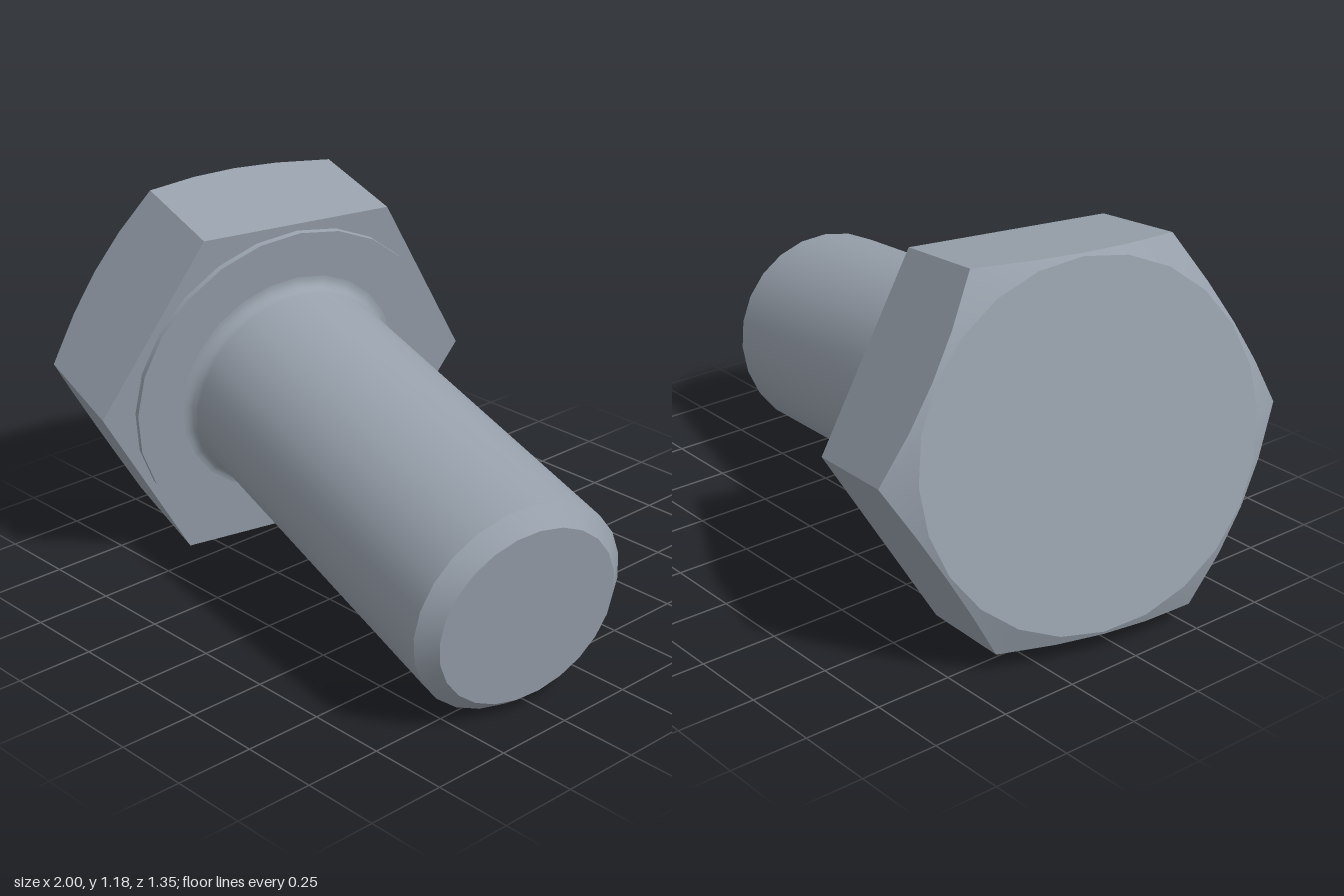
import * as THREE from 'three';
import { toCreasedNormals } from 'three/addons/utils/BufferGeometryUtils.js';

const SEGMENTS = 24;
const CREASE = 0.4;

// Turned part around the y axis; profile runs from low y to high y
function turned(profile) {
  return new THREE.LatheGeometry(profile.map(([r, y]) => new THREE.Vector2(r, y)), SEGMENTS);
}

// Hexagonal head: a turned blank whose rim is pushed out to a hexagon,
// with the far corners cut by a 30 degree cone
function headGeometry() {
  const corner = 0.651, faceRadius = 0.555, height = 0.433;
  const apothem = corner * Math.cos(Math.PI / 6);
  const geo = turned([[0, -height], [faceRadius, -height], [1, -height], [1, 0], [0, 0]]);
  const pos = geo.attributes.position;
  for (let i = 0; i < pos.count; i++) {
    const ring = i % 5;
    if (ring !== 2 && ring !== 3) continue;
    const step = Math.floor(i / 5);
    const angle = (step / SEGMENTS) * Math.PI * 2;
    const fromFlat = ((step % 4) / 4) * (Math.PI / 3) - Math.PI / 6;
    const r = apothem / Math.cos(fromFlat);
    const y = ring === 2 ? -height + (r - faceRadius) * Math.tan(Math.PI / 6) : 0;
    pos.setXYZ(i, r * Math.sin(angle), y, r * Math.cos(angle));
  }
  return toCreasedNormals(geo, CREASE);
}

// Shank with a fillet at the root and a chamfered tip
function shankGeometry() {
  const radius = 0.345, fillet = 0.04, seat = 0.02;
  const profile = [];
  for (let i = 0; i <= 6; i++) {
    const a = (i / 6) * Math.PI / 2;
    profile.push([radius + fillet * (1 - Math.sin(a)), seat + fillet * (1 - Math.cos(a))]);
  }
  profile.push([radius, 1.355], [0.293, 1.407], [0, 1.407]);
  return toCreasedNormals(turned(profile), CREASE);
}

export function createModel() {
  const steel = new THREE.MeshStandardMaterial({ color: 0x98a1ac });
  steel.name = 'steel';

  const bolt = new THREE.Group();
  bolt.name = 'hexBolt';
  const add = (name, geometry) => {
    const mesh = new THREE.Mesh(geometry, steel);
    mesh.name = name;
    bolt.add(mesh);
  };

  add('hexHead', headGeometry());
  add('washerFace', toCreasedNormals(turned([[0.54, 0], [0.54, 0.02], [0.3, 0.02]]), CREASE));
  add('shank', shankGeometry());

  // Lay the bolt over: its axis points right, slightly down and forward
  const axis = new THREE.Vector3(0.965, -0.16, 0.208).normalize();
  const cornerDir = new THREE.Vector3(-axis.z, 0, axis.x).normalize();
  const side = new THREE.Vector3().crossVectors(axis, cornerDir);
  bolt.quaternion.setFromRotationMatrix(new THREE.Matrix4().makeBasis(side, axis, cornerDir));
  bolt.position.set(-0.435, 0.56, 0.037);

  const model = new THREE.Group();
  model.name = 'bolt';
  model.add(bolt);
  return model;
}
